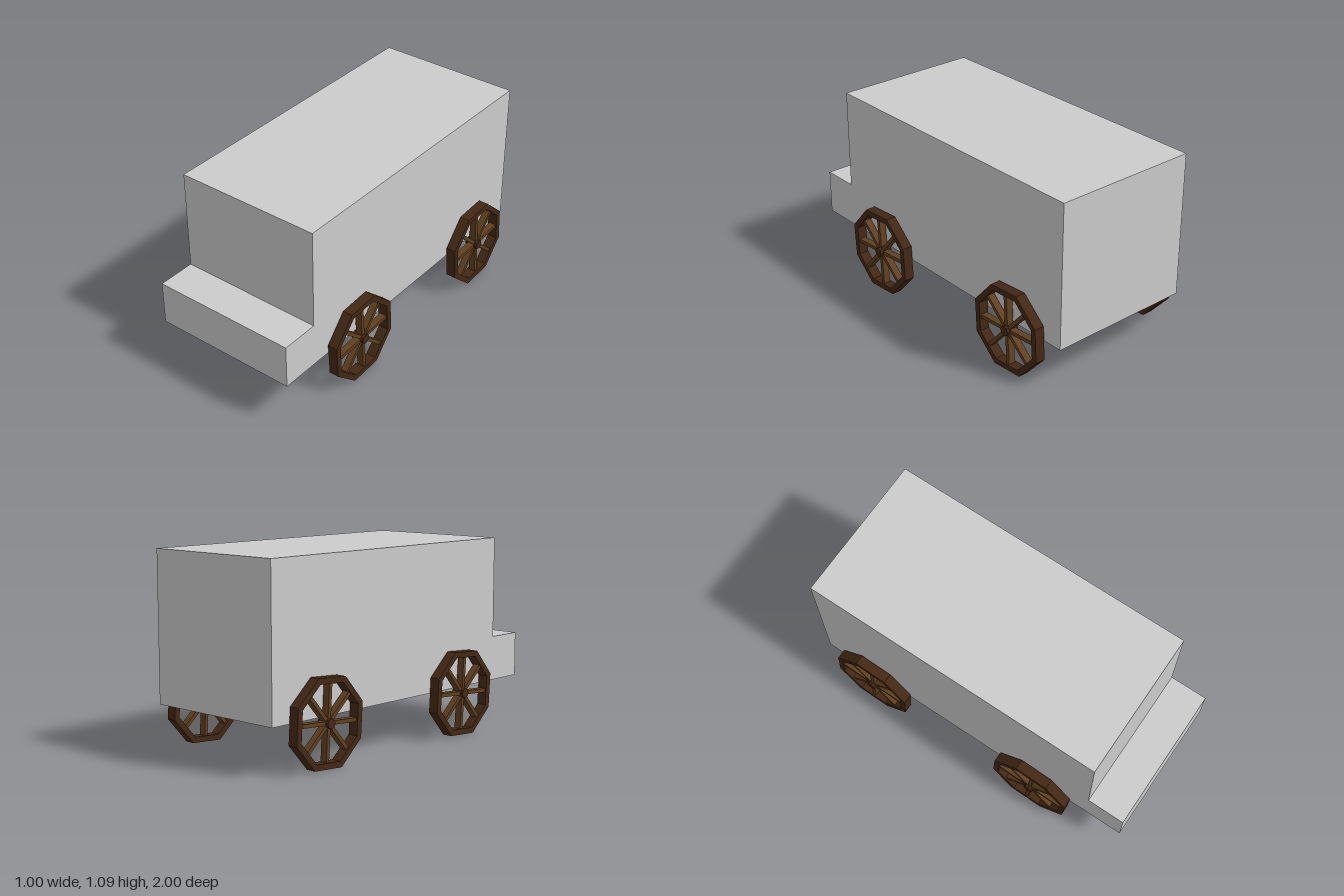
import * as THREE from 'three';

const TILT = THREE.MathUtils.degToRad(3.6);
const WHEEL_Y = 0.24;

const grey = new THREE.MeshStandardMaterial({ color: 0xcccccc, flatShading: true });
const darkWood = new THREE.MeshStandardMaterial({ color: 0x432814, flatShading: true });
const lightWood = new THREE.MeshStandardMaterial({ color: 0x60401f, flatShading: true });

function part(name, geometry, material) {
  const mesh = new THREE.Mesh(geometry, material);
  mesh.name = name;
  return mesh;
}

// Corners of an octagon whose flats face the spokes
function octagon(radius) {
  return Array.from({ length: 8 }, (_, i) => {
    const a = (i + 0.5) * Math.PI / 4;
    return new THREE.Vector2(Math.cos(a) * radius, Math.sin(a) * radius);
  });
}

// Stepped side profile (z, y) extruded across the width
function createBody() {
  const halfWidth = 0.426;
  const profile = [[-1, 0.263], [1, 0.263], [1, 0.517], [0.78, 0.517], [0.78, 1.09], [-1, 1.09]];
  const shape = new THREE.Shape(profile.map(([z, y]) => new THREE.Vector2(-z, y)));
  const geometry = new THREE.ExtrudeGeometry(shape, { depth: halfWidth * 2, bevelEnabled: false });
  geometry.translate(0, 0, -halfWidth).rotateY(Math.PI / 2);
  return part('wagonBody', geometry, grey);
}

// Wheel built in the XY plane, with its axle along z
function createWheel() {
  const wheel = new THREE.Group();

  const rimShape = new THREE.Shape(octagon(0.2535));
  rimShape.holes.push(new THREE.Path(octagon(0.219).reverse()));
  const rim = new THREE.ExtrudeGeometry(rimShape, { depth: 0.058, bevelEnabled: false });
  rim.translate(0, 0, -0.029);
  wheel.add(part('rim', rim, darkWood));

  const hub = new THREE.CylinderGeometry(0.028, 0.028, 0.074, 8);
  hub.rotateX(Math.PI / 2);
  wheel.add(part('hub', hub, darkWood));

  for (let i = 0; i < 8; i++) {
    const spoke = new THREE.BoxGeometry(0.19, 0.021, 0.04);
    spoke.translate(0.11, 0, 0).rotateZ(i * Math.PI / 4);
    wheel.add(part('spoke', spoke, lightWood));
  }
  wheel.rotation.set(0, Math.PI / 2, TILT);
  return wheel;
}

export function createModel() {
  const model = new THREE.Group();
  model.name = 'wagon';
  model.add(createBody());

  // Four wheels, two per side
  for (const [end, z] of [['front', 0.434], ['back', -0.655]]) {
    for (const [side, x] of [['Left', 0.4615], ['Right', -0.4615]]) {
      const wheel = createWheel();
      wheel.name = `${end}${side}Wheel`;
      wheel.position.set(x, WHEEL_Y, z);
      model.add(wheel);
    }
  }
  return model;
}
